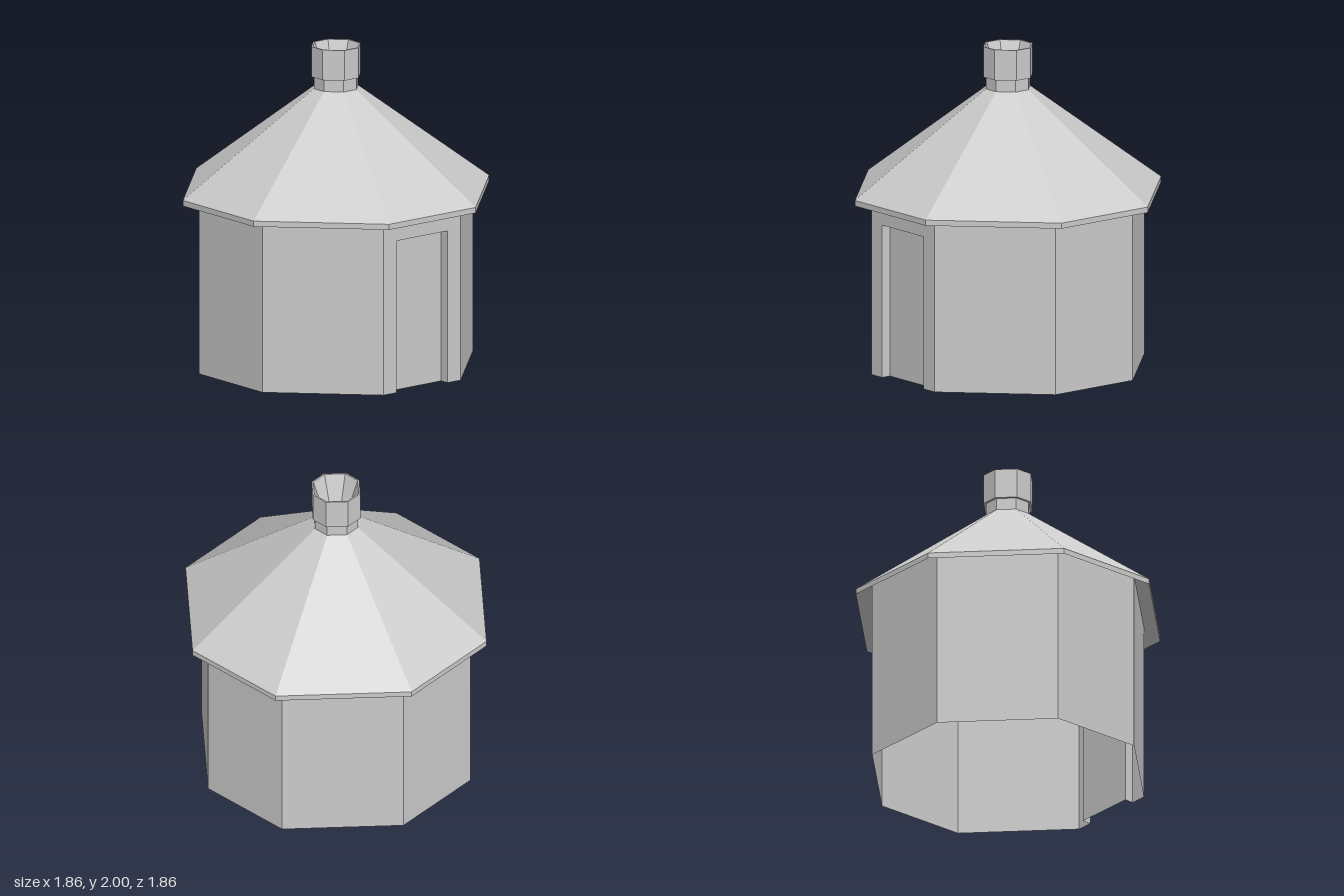
import * as THREE from 'three';

const material = new THREE.MeshStandardMaterial({
  color: 0xcccccc, flatShading: true, side: THREE.DoubleSide,
});

// Eight-sided plan, front side first, scaled so the front lies at z = 1
const T = 0.367;
const PLAN = [[-T, 1], [T, 1], [1, T], [1, -T], [T, -1], [-T, -1], [-1, -T], [-1, T]];

// Sweeps a [radius, height] profile around the plan, from side `first` on
function loft(profile, first = 0) {
  const pos = [];
  const at = (k, [r, y]) => [PLAN[k % 8][0] * r, y, PLAN[k % 8][1] * r];
  for (let i = 0; i < profile.length - 1; i++) {
    for (let k = first; k < 8; k++) {
      const a = at(k, profile[i]), b = at(k + 1, profile[i]);
      const c = at(k + 1, profile[i + 1]), d = at(k, profile[i + 1]);
      if (profile[i][0] > 0) pos.push(...a, ...b, ...c);
      if (profile[i + 1][0] > 0) pos.push(...a, ...c, ...d);
    }
  }
  const g = new THREE.BufferGeometry();
  g.setAttribute('position', new THREE.Float32BufferAttribute(pos, 3));
  g.computeVertexNormals();
  return g;
}

export function createModel() {
  const model = new THREE.Group();
  const add = (name, geometry, x = 0, y = 0, z = 0) => {
    const mesh = new THREE.Mesh(geometry, material);
    mesh.name = name;
    mesh.position.set(x, y, z);
    model.add(mesh);
    return mesh;
  };

  const R = 0.83, wallTop = 1.145;
  const doorW = 0.2, doorH = 0.955, depth = 0.06;

  // Seven plain wall sides
  add('walls', loft([[R, 0], [R, wallTop]], 1));

  // Front wall with the doorway cut out
  const w = R * T;
  const front = new THREE.Shape([
    [-w, 0], [-doorW, 0], [-doorW, doorH], [doorW, doorH],
    [doorW, 0], [w, 0], [w, wallTop], [-w, wallTop],
  ].map(([x, y]) => new THREE.Vector2(x, y)));
  add('frontWall', new THREE.ShapeGeometry(front), 0, 0, R);

  // Recessed door with its jambs and head
  add('door', new THREE.PlaneGeometry(2 * doorW, doorH), 0, doorH / 2, R - depth);
  for (const s of [-1, 1]) {
    const jamb = add(s > 0 ? 'leftJamb' : 'rightJamb',
      new THREE.PlaneGeometry(depth, doorH), s * doorW, doorH / 2, R - depth / 2);
    jamb.rotation.y = -s * Math.PI / 2;
  }
  add('doorHead', new THREE.PlaneGeometry(2 * doorW, depth), 0, doorH, R - depth / 2)
    .rotation.x = Math.PI / 2;

  // Roof slab: underside, eave edge, upper slope
  add('roof', loft([[0.135, 1.7], [0.93, 1.065], [0.93, 1.1], [0.135, 1.735]]));

  // Chimney neck, then the wider pot with a tapered hollow
  add('chimneyNeck', loft([[0.135, 1.7], [0.135, 1.81]]));
  add('chimneyPot', loft([
    [0.135, 1.81], [0.15, 1.81], [0.15, 2], [0.14, 2], [0.08, 1.81], [0, 1.81],
  ]));

  return model;
}
